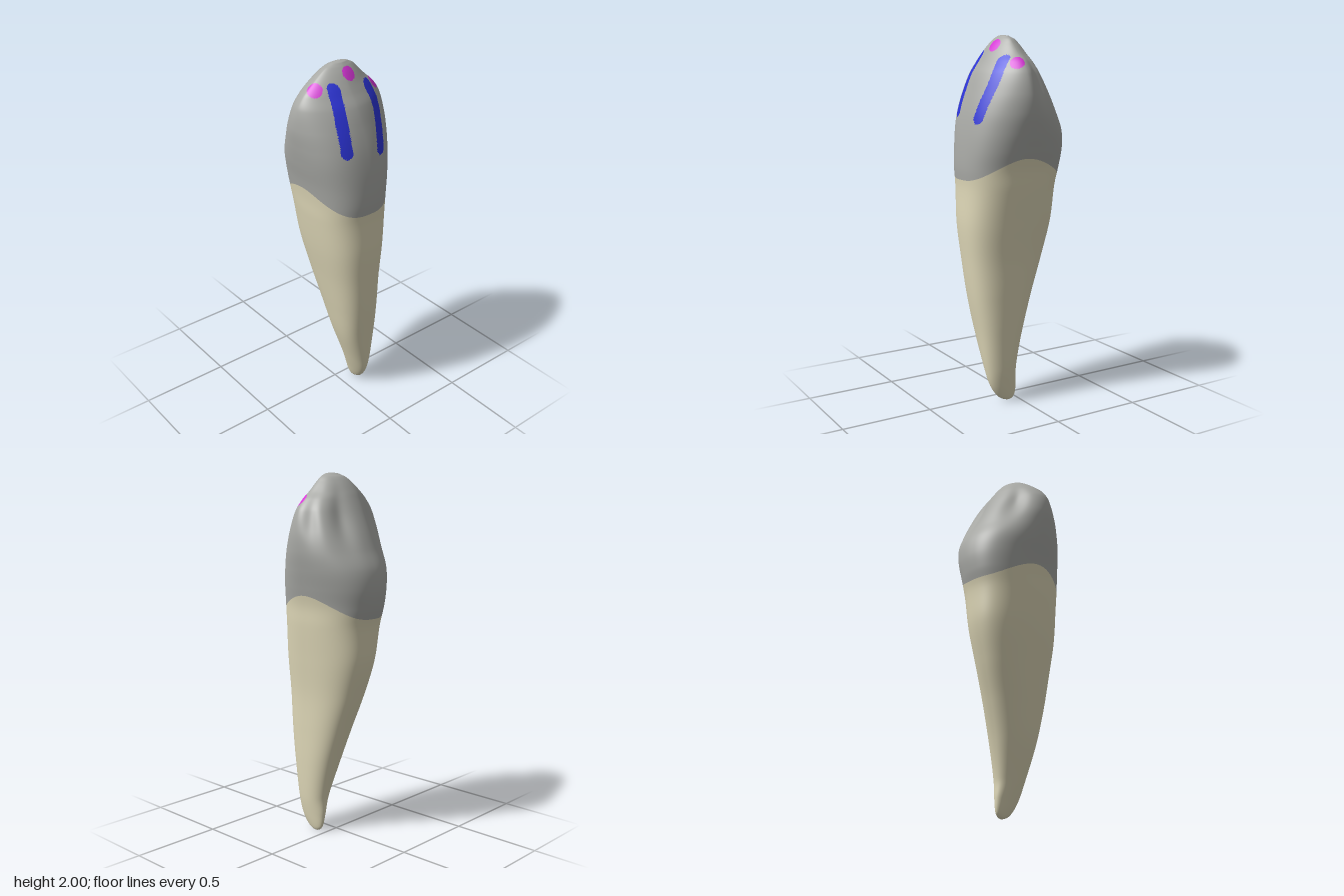
import * as THREE from 'three';

// Cross-sections: height, right edge, left edge, back edge, front edge, z of the widest line
const SECTIONS = [
  [0, 0.097, 0.097, 0.06, 0.06, 0.06],
  [0.006, 0.085, 0.109, 0.04, 0.085, 0.062],
  [0.03, 0.071, 0.119, 0.02, 0.125, 0.07],
  [0.1, 0.045, 0.132, 0.01, 0.17, 0.09],
  [0.2, 0.01, 0.144, 0.006, 0.195, 0.1],
  [0.4, -0.055, 0.153, -0.043, 0.225, 0.105],
  [0.6, -0.1, 0.157, -0.108, 0.255, 0.095],
  [0.8, -0.14, 0.163, -0.18, 0.275, 0.075],
  [1.0, -0.18, 0.183, -0.238, 0.29, 0.06],
  [1.2, -0.21, 0.205, -0.26, 0.287, 0.04],
  [1.3, -0.22, 0.213, -0.285, 0.292, 0.03],
  [1.4, -0.235, 0.235, -0.295, 0.287, 0.02],
  [1.5, -0.255, 0.258, -0.28, 0.275, 0.01],
  [1.6, -0.271, 0.275, -0.235, 0.255, 0.01],
  [1.7, -0.279, 0.275, -0.19, 0.225, 0.02],
  [1.8, -0.265, 0.25, -0.14, 0.187, 0.03],
  [1.86, -0.23, 0.207, -0.108, 0.15, 0.034],
  [1.9, -0.19, 0.16, -0.085, 0.125, 0.035],
  [1.95, -0.13, 0.11, -0.05, 0.092, 0.035],
  [1.98, -0.085, 0.077, -0.02, 0.067, 0.035],
  [1.995, -0.045, 0.045, 0.01, 0.052, 0.035],
  [2, 0, 0, 0.035, 0.035, 0.035],
];
const AROUND = 240, ROOT_ROWS = 90, CROWN_ROWS = 120;

// Smooth cubic interpolation of one column of the section table
function sample(y, col) {
  const S = SECTIONS, last = S.length - 1;
  let i = 0;
  while (i < last - 1 && y > S[i + 1][0]) i++;
  const slope = (k) => {
    const a = S[Math.max(k - 1, 0)], b = S[Math.min(k + 1, last)];
    return (b[col] - a[col]) / (b[0] - a[0]);
  };
  const h = S[i + 1][0] - S[i][0], t = (y - S[i][0]) / h, t2 = t * t, t3 = t2 * t;
  if (i === 0 || i >= last - 2) return S[i][col] + (S[i + 1][col] - S[i][col]) * t;
  return (2 * t3 - 3 * t2 + 1) * S[i][col] + (t3 - 2 * t2 + t) * h * slope(i)
    + (3 * t2 - 2 * t3) * S[i + 1][col] + (t3 - t2) * h * slope(i + 1);
}

const bell = (v, centre, width) => Math.exp(-(((v - centre) / width) ** 2));

// Grooves on the back of the crown: angle, width, depth
const GROOVES = [
  [Math.PI - 0.45, 0.24, 0.15],
  [Math.PI + 0.65, 0.28, 0.14],
  [Math.PI - 1.2, 0.22, 0.07],
];

// Squareness of each quarter: low down, at the crown tip, and where the change starts
const QUARTERS = {
  frontLeft: [2.5, 1.6, 1.2],
  frontRight: [2.6, 1.6, 1.5],
  backLeft: [2.5, 1.95, 1.4],
  backRight: [2.1, 1.95, 1.4],
};
function squareness(s, c, y) {
  const [full, tip, start] = QUARTERS[(c > 0 ? 'front' : 'back') + (s > 0 ? 'Left' : 'Right')];
  const { lerp, smoothstep } = THREE.MathUtils;
  return lerp(lerp(2, full, smoothstep(y, 0.05, 0.5)), tip, smoothstep(y, start, 1.9));
}

// Surface point at an angle (0 = front, a quarter turn = left) and height
function surface(angle, y) {
  const [x0, x1, zb, zf, zc] = [1, 2, 3, 4, 5].map((col) => sample(y, col));
  const s = Math.sin(angle), c = Math.cos(angle);
  const power = squareness(s, c, y);
  let r = (Math.abs(s) ** power + Math.abs(c) ** power) ** (-1 / power);
  for (const [a, width, depth] of GROOVES) {
    r *= 1 - depth * bell(angle, a, width) * bell(y, 1.76, 0.13);
  }
  return [(x0 + x1) / 2 + ((x1 - x0) / 2) * s * r, y, zc + c * r * (c > 0 ? zf - zc : zc - zb)];
}

// Wavy line where the root meets the crown
const neckHeight = (angle) => 1.242 + 0.118 * Math.abs(Math.sin(angle)) ** 3.3;

// Painted marks on the crown
const v3 = (p) => new THREE.Vector3(...p);
const SPOTS = [[-0.175, 1.888, 0.06], [0.013, 1.948, 0.094], [0.195, 1.857, 0.066]].map(v3);
const STRIPES = [
  [[-0.098, 1.89, 0], [-0.112, 1.76, 0], [-0.116, 1.6, 0]],
  [[0.122, 1.865, 0], [0.134, 1.78, 0], [0.1, 1.57, 0]],
].map((pts) => new THREE.CatmullRomCurve3(pts.map(v3)).getPoints(24));

function paintOf(p) {
  if (p.z < 0) return 'crown';
  if (SPOTS.some((q) => q.distanceTo(p) < 0.039)) return 'spots';
  const near = (q) => Math.hypot(q.x - p.x, q.y - p.y) < 0.031;
  return STRIPES.some((line) => line.some(near)) ? 'stripes' : 'crown';
}

export function createModel() {
  const group = new THREE.Group();
  group.name = 'tooth';

  const material = (name, color) => {
    const m = new THREE.MeshStandardMaterial({ color });
    m.name = name;
    return m;
  };
  const materials = {
    root: material('ivory', 0xdfd8b8),
    crown: material('enamel grey', 0xa9aaa6),
    stripes: material('blue', 0x2c34d8),
    spots: material('magenta', 0xd636d6),
  };

  // One continuous skin from the root tip to the crown tip
  const positions = [];
  const rows = ROOT_ROWS + CROWN_ROWS;
  for (let r = 0; r <= rows; r++) {
    for (let i = 0; i < AROUND; i++) {
      const angle = (i / AROUND) * Math.PI * 2, neck = neckHeight(angle);
      const down = r / ROOT_ROWS, up = (r - ROOT_ROWS) / CROWN_ROWS;
      const y = r <= ROOT_ROWS
        ? neck * down ** 1.5
        : neck + (2 - neck) * (1 - (1 - up) ** 1.6);
      positions.push(...surface(angle, y));
    }
  }
  const skin = new THREE.BufferGeometry();
  skin.setAttribute('position', new THREE.Float32BufferAttribute(positions, 3));

  // Sort the faces into parts
  const faces = { root: [], crown: [], stripes: [], spots: [] };
  const all = [], centre = new THREE.Vector3();
  const vertex = (k) => v3(positions.slice(3 * k, 3 * k + 3));
  const addFace = (r, ...abc) => {
    all.push(...abc);
    centre.set(0, 0, 0);
    abc.forEach((k) => centre.addScaledVector(vertex(k), 1 / 3));
    faces[r < ROOT_ROWS ? 'root' : paintOf(centre)].push(...abc);
  };
  for (let r = 0; r < rows; r++) {
    for (let i = 0; i < AROUND; i++) {
      const j = (i + 1) % AROUND;
      const a = r * AROUND + i, b = r * AROUND + j;
      if (r > 0) addFace(r, a, b, b + AROUND);
      if (r < rows - 1) addFace(r, a, b + AROUND, a + AROUND);
    }
  }
  skin.setIndex(all);
  skin.computeVertexNormals();

  // Give the closed tips clean normals
  const normals = skin.attributes.normal;
  for (let i = 0; i < AROUND; i++) {
    normals.setXYZ(i, 0, -1, 0);
    normals.setXYZ(rows * AROUND + i, 0, 1, 0);
  }

  for (const name of Object.keys(faces)) {
    const geometry = new THREE.BufferGeometry();
    geometry.setAttribute('position', skin.attributes.position);
    geometry.setAttribute('normal', normals);
    geometry.setIndex(faces[name]);
    const mesh = new THREE.Mesh(geometry, materials[name]);
    mesh.name = name;
    group.add(mesh);
  }
  return group;
}
